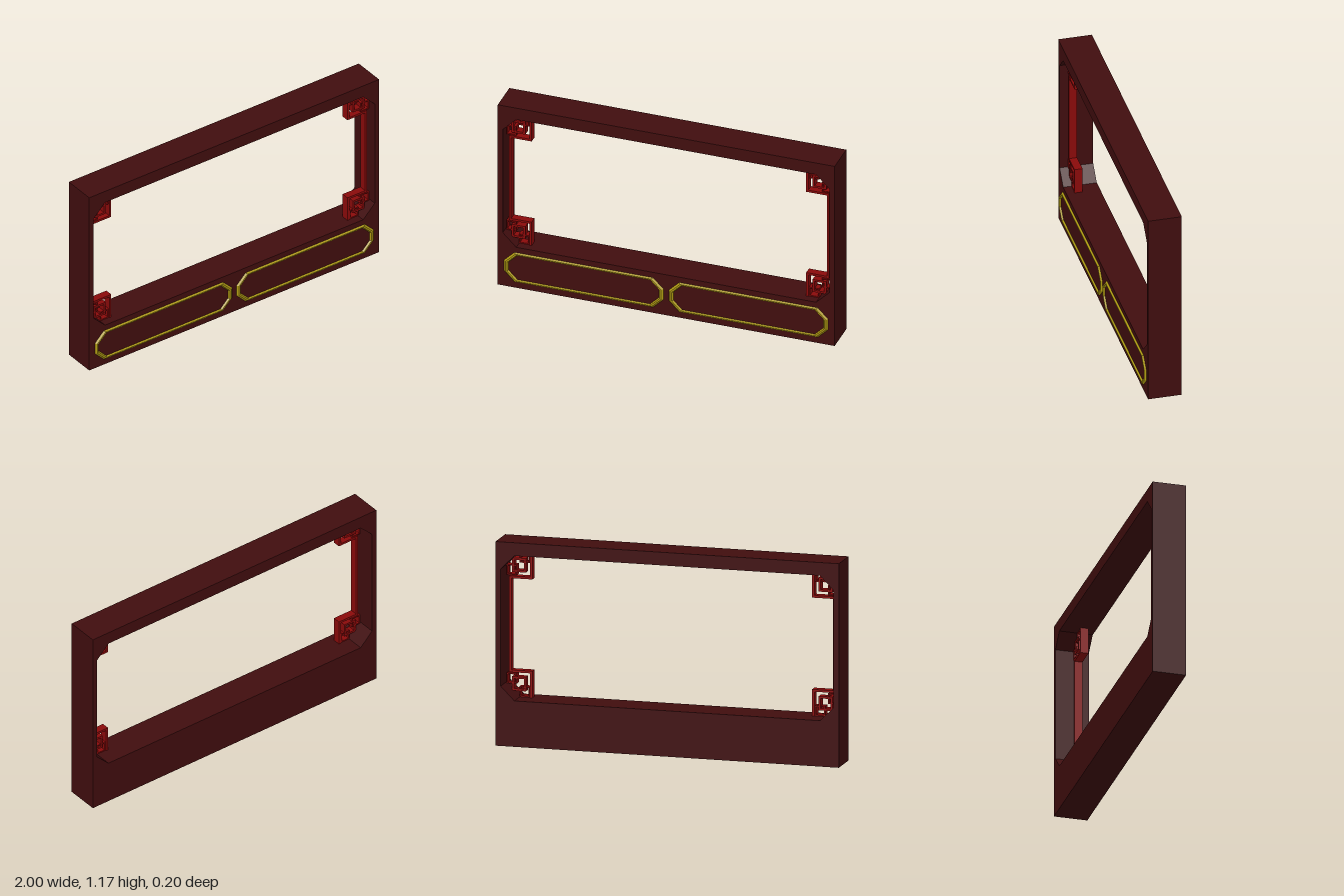
import * as THREE from 'three';

const FRONT = 0.092, BACK = -0.102, GOLD_FRONT = 0.102;
const TOP = 1.17, MID = 0.679; // MID is the opening's centre height

// Octagon: rectangle with cut corners, counter-clockwise
function octagon(hx, hy, cut, cx = 0, cy = 0) {
  return [
    [hx, -hy + cut], [hx, hy - cut], [hx - cut, hy], [-hx + cut, hy],
    [-hx, hy - cut], [-hx, -hy + cut], [-hx + cut, -hy], [hx - cut, -hy],
  ].map(([x, y]) => new THREE.Vector2(x + cx, y + cy));
}

// Bevelled octagonal moulding swept through nested cross-sections
function mouldingGeometry() {
  const sections = [[0, 0, FRONT - 0.002], [0.013, 0.007, GOLD_FRONT],
    [0.022, 0.014, GOLD_FRONT], [0.03, 0.019, FRONT - 0.002]];
  const loops = sections.map(([dx, dy, z]) =>
    octagon(0.475 - dx, 0.097 - dy, 0.062 - dy * 0.5).map((p) => [p.x, p.y, z]));
  const pos = [];
  for (let s = 0; s < loops.length - 1; s++) {
    for (let i = 0; i < 8; i++) {
      const j = (i + 1) % 8;
      const a = loops[s][i], b = loops[s][j], c = loops[s + 1][j], d = loops[s + 1][i];
      pos.push(...a, ...b, ...c, ...a, ...c, ...d);
    }
  }
  const g = new THREE.BufferGeometry();
  g.setAttribute('position', new THREE.Float32BufferAttribute(pos, 3));
  g.computeVertexNormals();
  return g;
}

export function createModel() {
  const wood = new THREE.MeshStandardMaterial({ name: 'dark wood', color: 0x400d0e });
  const red = new THREE.MeshStandardMaterial({ name: 'red lacquer', color: 0x8a0a0a });
  const gold = new THREE.MeshStandardMaterial({ name: 'gold', color: 0xb09a12 });
  const model = new THREE.Group();
  model.name = 'latticeFrame';

  // Frame with a chamfered opening
  const shape = new THREE.Shape([[-1, 0], [1, 0], [1, TOP], [-1, TOP]]
    .map(([x, y]) => new THREE.Vector2(x, y)));
  shape.holes.push(new THREE.Path(octagon(0.97, 0.416, 0.08, 0, MID).reverse()));
  const frameGeo = new THREE.ExtrudeGeometry(shape, { depth: FRONT - BACK, bevelEnabled: false });
  frameGeo.translate(0, 0, BACK);
  const frame = new THREE.Mesh(frameGeo, wood);
  frame.name = 'frame';
  model.add(frame);

  // Gold mouldings on the lower panel
  const moulding = mouldingGeometry();
  for (const side of [-1, 1]) {
    const ring = new THREE.Mesh(moulding, gold);
    ring.name = side > 0 ? 'leftMoulding' : 'rightMoulding';
    ring.position.set(side * 0.489, 0.133, 0);
    model.add(ring);
  }

  // Lattice bars, given by x and y ranges
  const T = 0.013, Z0 = 0.0, Z1 = 0.046;
  function bar(parent, name, x0, x1, y0, y1, inset = 0) {
    const depth = Z1 - Z0 - 2 * inset;
    const mesh = new THREE.Mesh(new THREE.BoxGeometry(
      Math.abs(x1 - x0), Math.abs(y1 - y0), depth), red);
    mesh.name = name;
    mesh.position.set((x0 + x1) / 2, (y0 + y1) / 2, (Z0 + Z1) / 2);
    parent.add(mesh);
  }

  for (const sx of [-1, 1]) {
    // Upright between the two corner brackets
    bar(model, 'latticeUpright', sx * 0.95, sx * 0.937, MID - 0.276, MID + 0.276);
    for (const sy of [-1, 1]) {
      const bracket = new THREE.Group();
      bracket.name = 'cornerBracket';
      model.add(bracket);
      const part = (name, x0, x1, y0, y1, inset) =>
        bar(bracket, name, sx * x0, sx * x1, MID + sy * y0, MID + sy * y1, inset);
      const square = (name, x0, x1, y0, y1, t, inset) => {
        part(name, x0, x0 + t, y0, y1, inset);
        part(name, x1 - t, x1, y0, y1, inset);
        part(name, x0 + t, x1 - t, y0, y0 + t, inset);
        part(name, x0 + t, x1 - t, y1 - t, y1, inset);
      };
      // Outer step of the bracket
      part('bracketArm', 0.815, 0.95, 0.263, 0.263 + T);
      part('bracketPost', 0.815, 0.815 + T, 0.263 + T, 0.416);
      // Interlocking squares
      square('sideSquare', 0.907, 0.966, 0.281, 0.341, 0.007, 0.002);
      square('edgeSquare', 0.831, 0.891, 0.355, 0.414, 0.007, 0.002);
      square('middleSquare', 0.853, 0.934, 0.3, 0.381, 0.012, 0);
    }
  }
  return model;
}
